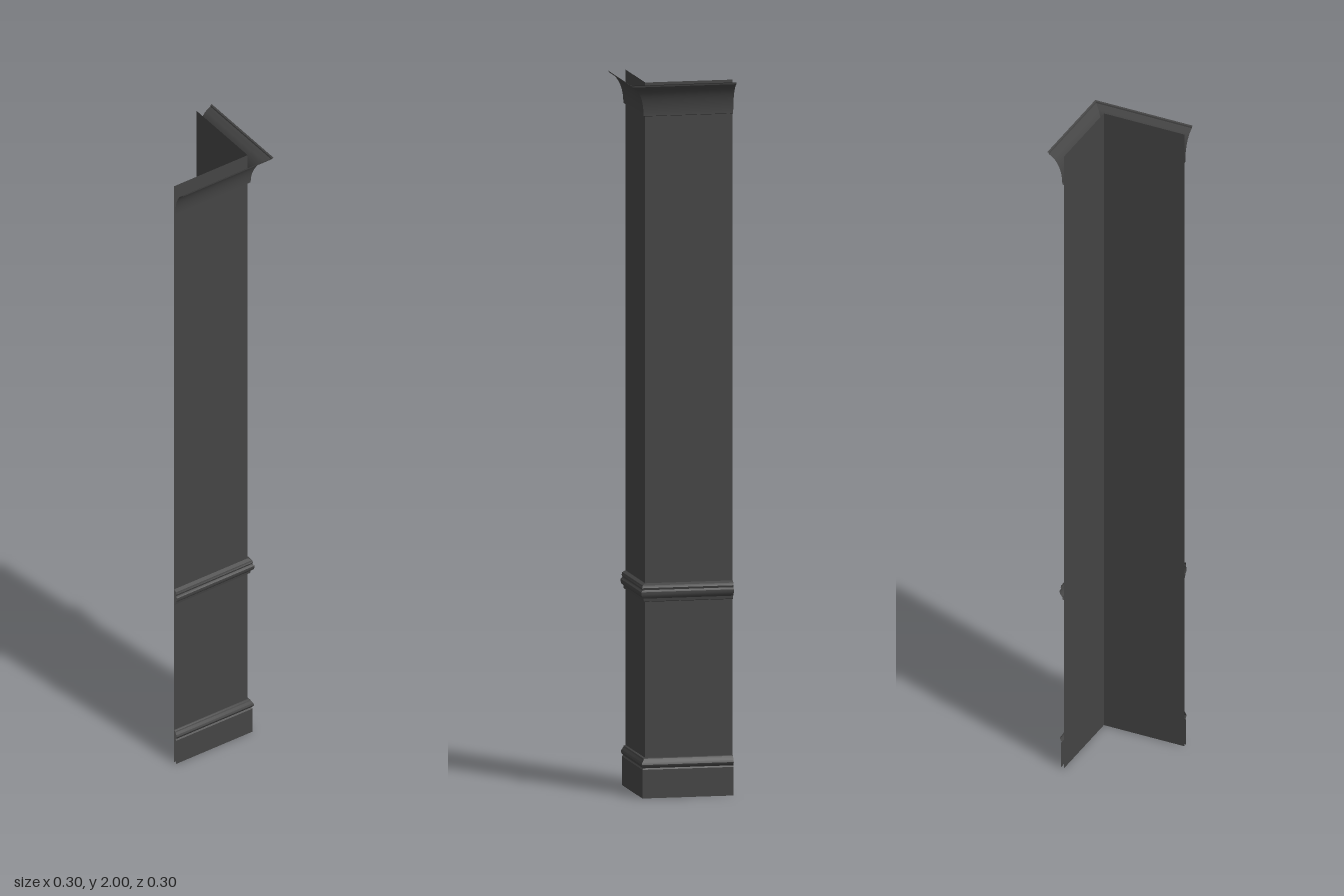
import * as THREE from 'three';
import { toCreasedNormals } from 'three/addons/utils/BufferGeometryUtils.js';

const END = 0.15;   // where both wings stop
const WALL = 0.098; // distance of the wall faces from the centre

// Sweeps a profile of [offset, height] points, bottom to top, around the mitred corner.
function sweepCorner(name, profile, material) {
  const positions = [];
  const index = [];
  for (const [d, y] of profile) {
    positions.push(-END, y, d, d, y, d, d, y, -END);
  }
  for (let k = 0; k < profile.length - 1; k++) {
    for (let i = 0; i < 2; i++) {
      const a = k * 3 + i;
      index.push(a, a + 1, a + 4, a, a + 4, a + 3);
    }
  }
  const geometry = new THREE.BufferGeometry();
  geometry.setAttribute('position', new THREE.Float32BufferAttribute(positions, 3));
  geometry.setIndex(index);
  const mesh = new THREE.Mesh(toCreasedNormals(geometry, 0.6), material);
  mesh.name = name;
  return mesh;
}

export function createModel() {
  const group = new THREE.Group();
  group.name = 'cornerPanelling';
  const material = new THREE.MeshStandardMaterial({ color: 0x444444, side: THREE.DoubleSide });

  // Thin wall panels, full height
  group.add(sweepCorner('wallPanels', [[WALL, 0], [WALL, 2]], material));

  // Skirting board with a rounded bead on top
  group.add(sweepCorner('skirting', [
    [0.108, 0], [0.108, 0.08], [0.105, 0.084], [0.109, 0.088],
    [0.111, 0.094], [0.109, 0.1], [0.104, 0.106], [0.103, 0.11], [WALL, 0.112],
  ], material));

  // Dado rail
  group.add(sweepCorner('dadoRail', [
    [WALL, 0.548], [0.103, 0.55], [0.104, 0.558], [0.109, 0.563], [0.112, 0.57],
    [0.112, 0.577], [0.107, 0.582], [0.109, 0.588], [0.107, 0.595], [WALL, 0.6],
  ], material));

  // Crown moulding: small fillet, cove flaring outwards, thin lip; open trough behind it
  const cove = new THREE.CubicBezierCurve(
    new THREE.Vector2(0.104, 1.912), new THREE.Vector2(0.105, 1.95),
    new THREE.Vector2(0.118, 1.982), new THREE.Vector2(0.145, 1.994));
  group.add(sweepCorner('crownMoulding', [
    [WALL, 1.905], [0.104, 1.907],
    ...cove.getPoints(10).map((p) => [p.x, p.y]),
    [0.146, 1.998], [0.15, 2],
  ], material));

  return group;
}
